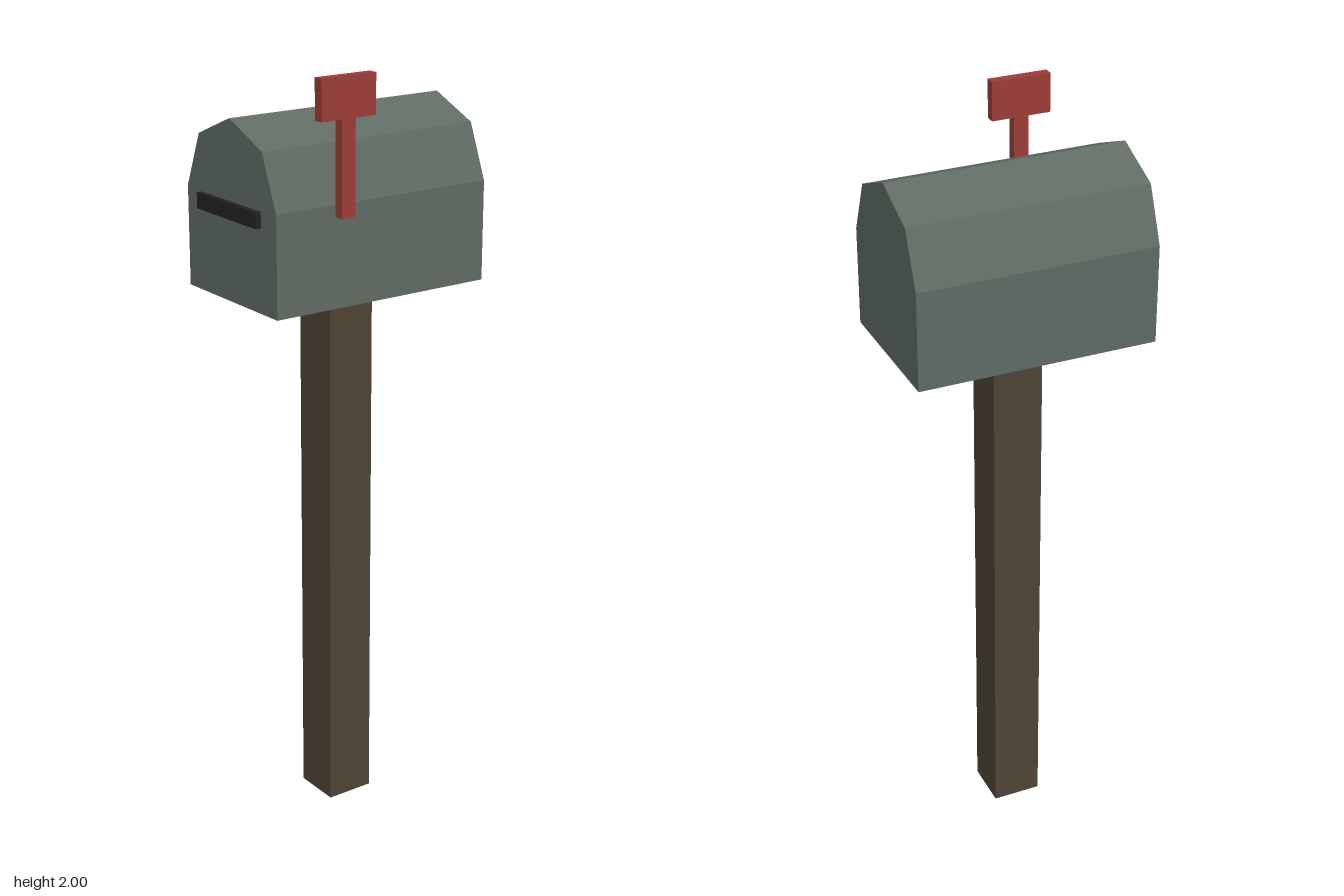
import * as THREE from 'three';

const material = (name, color) => {
  const m = new THREE.MeshStandardMaterial({ color });
  m.name = name;
  return m;
};

export function createModel() {
  const group = new THREE.Group();
  group.name = 'mailbox';
  const green = material('grey green paint', 0x5f6b63);
  const wood = material('dark wood', 0x4e4334);
  const red = material('flag red', 0x9c3c37);
  const black = material('slot black', 0x222222);

  const add = (name, geometry, mat, x, y, z) => {
    const mesh = new THREE.Mesh(geometry, mat);
    mesh.name = name;
    mesh.position.set(x, y, z);
    group.add(mesh);
  };
  const box = (name, mat, w, h, d, x, y, z) =>
    add(name, new THREE.BoxGeometry(w, h, d), mat, x, y, z);

  const centreX = -0.02;

  // Square post
  box('post', wood, 0.13, 1.435, 0.13, centreX, 0.7175, -0.006);

  // Box with straight walls and a four-facet arched roof, extruded front to back
  const radius = 0.195, wall = 0.255, length = 0.623;
  const profile = [new THREE.Vector2(-radius, 0), new THREE.Vector2(radius, 0)];
  for (let i = 0; i <= 4; i++) {
    const a = (i * Math.PI) / 4;
    profile.push(new THREE.Vector2(radius * Math.cos(a), wall + radius * Math.sin(a)));
  }
  const body = new THREE.ExtrudeGeometry(new THREE.Shape(profile), {
    depth: length, bevelEnabled: false,
  });
  add('body', body, green, centreX, 1.435, -0.32);

  // Mail slot on the front
  box('mailSlot', black, 0.26, 0.04, 0.03, centreX, 1.665, 0.303);

  // Raised signal flag beside the left wall
  box('flagArm', red, 0.026, 0.235, 0.039, 0.2, 1.7825, 0.123);
  box('flagPlate', red, 0.026, 0.1, 0.156, 0.2, 1.95, 0.123);

  return group;
}
